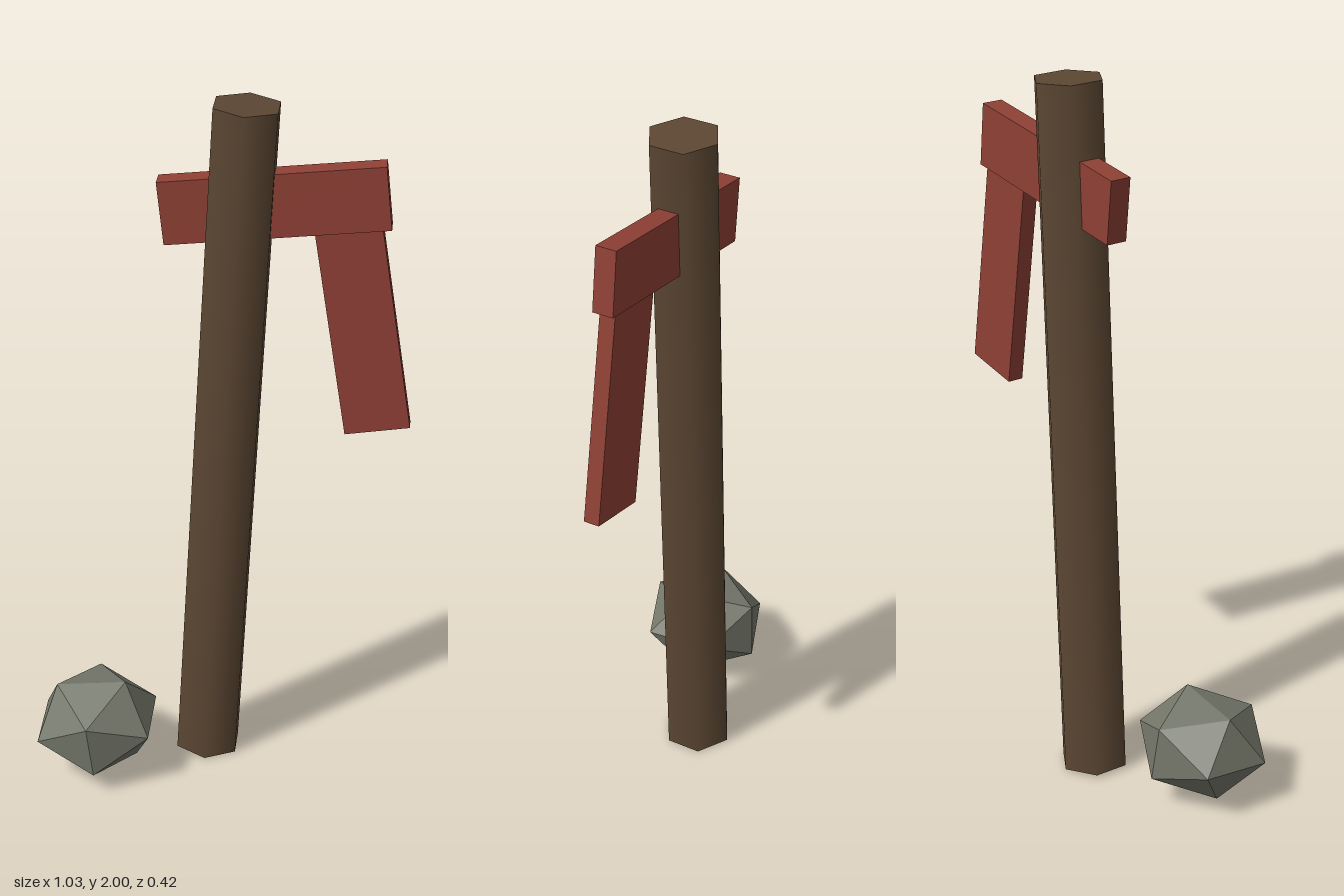
import * as THREE from 'three';

const material = (name, color, flatShading = false) => {
  const m = new THREE.MeshStandardMaterial({ color, flatShading });
  m.name = name;
  return m;
};

export function createModel() {
  const group = new THREE.Group();
  group.name = 'leaningSignpost';

  const wood = material('brown wood', 0x5c4733);
  const red = material('faded red', 0x8f4035);
  const stone = material('grey stone', 0x74776a, true);

  const add = (name, geometry, mat, position, rotation) => {
    const mesh = new THREE.Mesh(geometry, mat);
    mesh.name = name;
    mesh.position.set(...position);
    mesh.rotation.set(...rotation);
    group.add(mesh);
    return mesh;
  };

  // Six-sided post, leaning to its left
  add('post', new THREE.CylinderGeometry(0.099, 0.099, 1.99, 6), wood,
    [0.004, 1, -0.112], [0, 0, -0.054]);

  // Crossbeam through the post
  add('crossbeam', new THREE.BoxGeometry(0.613, 0.179, 0.06), red,
    [0.133, 1.724, -0.113], [0, 0, 0.106]);

  // Board hanging from the beam's end, its top buried in the beam
  add('hangingBoard', new THREE.BoxGeometry(0.182, 0.62, 0.045), red,
    [0.377, 1.376, -0.113], [0, 0, 0.155]);

  // Slightly flattened rock beside the post
  const rock = add('rock', new THREE.IcosahedronGeometry(0.19, 0), stone,
    [-0.357, 0.161, 0.042], [0.077, 0, 0.105]);
  rock.scale.y = 0.8;

  return group;
}
